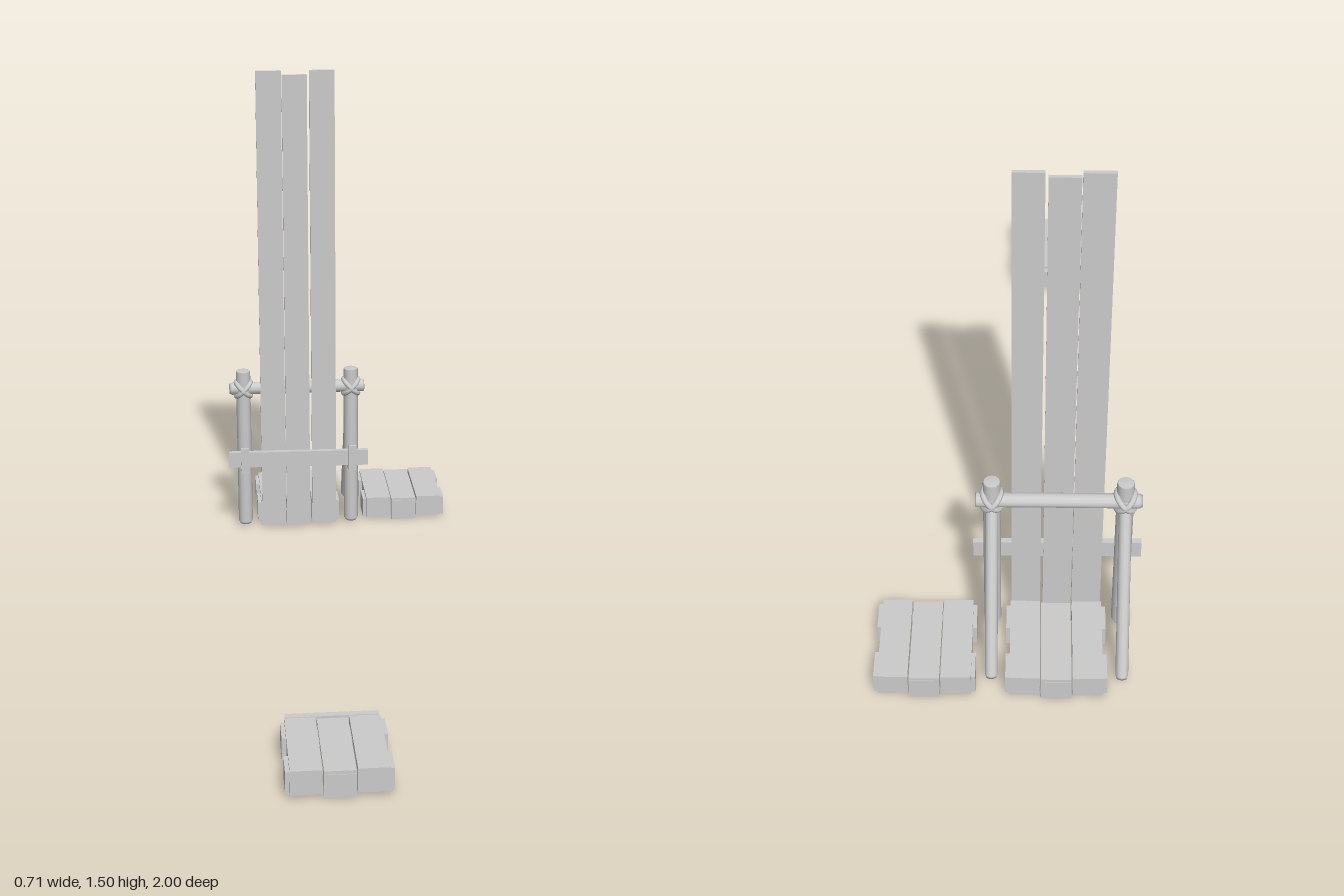
import * as THREE from 'three';

const material = new THREE.MeshStandardMaterial({ color: 0xcccccc, flatShading: true });
const smooth = new THREE.MeshStandardMaterial({ color: 0xcccccc });

// Box given by its extents on each axis
function board(parent, name, [x0, x1], [y0, y1], [z0, z1]) {
  const mesh = new THREE.Mesh(new THREE.BoxGeometry(x1 - x0, y1 - y0, z1 - z0), material);
  mesh.position.set((x0 + x1) / 2, (y0 + y1) / 2, (z0 + z1) / 2);
  mesh.name = name;
  parent.add(mesh);
  return mesh;
}

// Round pole between two points
function pole(parent, name, from, to, radius) {
  const a = new THREE.Vector3(...from), b = new THREE.Vector3(...to);
  const length = a.distanceTo(b);
  const profile = [[0, 0], [radius * 0.8, 0], [radius, 0.008], [radius, length - 0.003], [radius * 0.9, length], [0, length]];
  const geometry = new THREE.LatheGeometry(profile.map(p => new THREE.Vector2(...p)), 12);
  const mesh = new THREE.Mesh(geometry, smooth);
  mesh.position.copy(a);
  mesh.quaternion.setFromUnitVectors(new THREE.Vector3(0, 1, 0), b.sub(a).normalize());
  mesh.name = name;
  parent.add(mesh);
}

// Open-bottomed low crate: three top planks and three skirt boards per side
function crate(name, x, z) {
  const group = new THREE.Group();
  group.name = name;
  group.position.set(x, 0, z);
  for (let i = -1; i <= 1; i++) {
    const c = i * 0.083, mid = i === 0;
    const y = mid ? [0.002, 0.066] : [0.012, 0.066];
    board(group, 'topPlank', [c - 0.04, c + 0.04], [0.066, mid ? 0.075 : 0.08], [-0.132, mid ? 0.131 : 0.133]);
    for (const s of [-1, 1]) {
      const side = mid ? 0.122 : 0.134;
      const end = mid ? 0.133 : 0.13;
      board(group, 'endBoard', [c - 0.04, c + 0.04], y, [s * end - 0.006 * (1 + s), s * end + 0.006 * (1 - s)]);
      board(group, 'sideBoard', [s * side - 0.006 * (1 + s), s * side + 0.006 * (1 - s)],
        mid ? y : [y[0], 0.072], [c - 0.04, c + 0.04]);
    }
  }
  return group;
}

export function createModel() {
  const model = new THREE.Group();
  model.name = 'plankDoorAndCrates';

  // Three low crates
  model.add(crate('frontCrate', -0.127, 0.867));
  model.add(crate('backCrate', -0.127, -0.867));
  model.add(crate('sideCrate', 0.22, -0.867));
  board(model, 'looseBoard', [-0.248, -0.006], [0.015, 0.075], [0.703, 0.723]);

  // Tall upright planks
  board(model, 'tallPlank', [-0.248, -0.17], [0.012, 1.5], [-0.711, -0.7]);
  board(model, 'tallPlank', [-0.168, -0.091], [0.012, 1.487], [-0.711, -0.7]);
  board(model, 'tallPlank', [-0.084, -0.006], [0.012, 1.5], [-0.711, -0.7]);

  // Frame of posts, struts and lashings
  for (const x of [-0.302, 0.045]) {
    pole(model, 'post', [x, 0.01, -0.732], [x, 0.535, -0.732], 0.023);
    pole(model, 'strut', [x, 0.015, -0.942], [x, 0.475, -0.74], 0.017);
    for (const s of [-1, 1]) {
      const lashing = new THREE.Mesh(new THREE.TorusGeometry(0.033, 0.008, 8, 20), smooth);
      lashing.rotation.set(0, Math.PI / 2, s * Math.PI / 4, 'ZYX');
      lashing.position.set(x, 0.473, -0.734);
      lashing.name = 'lashing';
      model.add(lashing);
    }
    // Bracket holding the locking bar
    board(model, 'bracketFront', [x - 0.013, x + 0.013], [0.205, 0.29], [-0.677, -0.666]);
    board(model, 'bracketBase', [x - 0.013, x + 0.013], [0.205, 0.215], [-0.72, -0.677]);
  }
  pole(model, 'crossPole', [-0.347, 0.473, -0.737], [0.088, 0.473, -0.737], 0.02);

  const bar = board(model, 'lockingBar', [-0.354, 0.097], [0.22, 0.271], [-0.698, -0.681]);
  bar.rotation.z = -0.008;

  return model;
}
